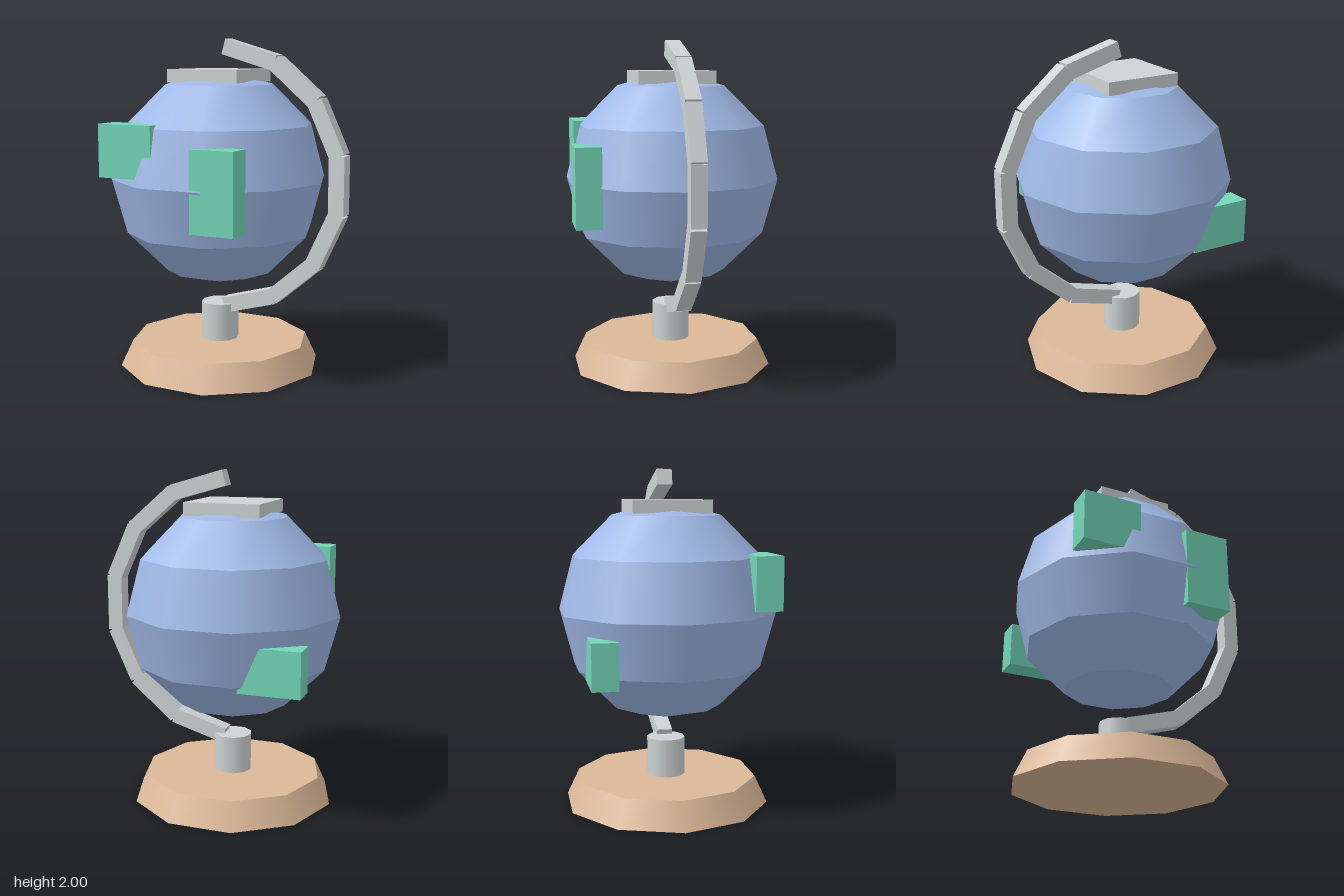
import * as THREE from 'three';
import { mergeGeometries } from 'three/addons/utils/BufferGeometryUtils.js';

const AXIS_X = -0.085; // vertical axis of the stand and globe
const GLOBE_Y = 1.165;
const GLOBE_R = 0.655;

function material(name, color) {
  const m = new THREE.MeshStandardMaterial({ color });
  m.name = name;
  return m;
}

export function createModel() {
  const model = new THREE.Group();
  model.name = 'deskGlobe';

  const ocean = material('oceanBlue', 0x9fb8e6);
  const land = material('landGreen', 0x73d6b8);
  const metal = material('paleMetal', 0xcdd3d4);
  const wood = material('wood', 0xdcb898);

  const add = (name, geometry, mat, x, y, z) => {
    const mesh = new THREE.Mesh(geometry, mat);
    mesh.name = name;
    mesh.position.set(x, y, z);
    model.add(mesh);
    return mesh;
  };

  // Ten-sided drum with a corner on the x axis
  const drum = (rTop, rBottom, height, open = false) =>
    new THREE.CylinderGeometry(rTop, rBottom, height, 10, 1, open, Math.PI / 2);

  // Box given by its limits on each axis
  const block = (name, mat, [x0, x1], [y0, y1], [z0, z1]) =>
    add(name, new THREE.BoxGeometry(x1 - x0, y1 - y0, z1 - z0), mat,
      (x0 + x1) / 2, (y0 + y1) / 2, (z0 + z1) / 2);

  // Stand
  add('base', drum(0.545, 0.62, 0.16), wood, AXIS_X, 0.08, 0);
  add('post', drum(0.115, 0.115, 0.235), metal, AXIS_X, 0.2725, 0);

  // Globe: six bands, smooth around and creased between
  const bands = [];
  for (let i = 0; i < 6; i++) {
    const a = (i * Math.PI) / 6;
    const b = ((i + 1) * Math.PI) / 6;
    const top = Math.cos(a) * GLOBE_R;
    const bottom = Math.cos(b) * GLOBE_R;
    const rTop = i === 0 ? 0 : Math.sin(a) * GLOBE_R;
    const rBottom = i === 5 ? 0 : Math.sin(b) * GLOBE_R;
    bands.push(drum(rTop, rBottom, top - bottom, true).translate(0, (top + bottom) / 2, 0));
  }
  add('globe', mergeGeometries(bands), ocean, AXIS_X, GLOBE_Y, 0);

  // Polar plate
  block('polarCap', metal, [-0.315, 0.145], [1.745, 1.822], [-0.232, 0.232]);

  // Land blocks
  block('landFrontRight', land, [-0.57, -0.22], [1.205, 1.515], [0.422, 0.58]);
  block('landFrontLeft', land, [0.05, 0.32], [0.93, 1.4], [0.467, 0.62]);
  block('landBack', land, [-0.645, -0.28], [0.8, 1.067], [-0.505, -0.355]);

  // Curved arm of seven straight bars
  const barGeometry = new THREE.BoxGeometry(0.095, 0.345, 0.092);
  const step = THREE.MathUtils.degToRad(24.63);
  const armR = 0.7725;
  for (let i = -3; i <= 3; i++) {
    const a = i * step;
    const bar = add('armSegment', barGeometry, metal,
      AXIS_X + Math.cos(a) * armR, GLOBE_Y + Math.sin(a) * armR, 0);
    bar.rotation.z = a;
  }

  return model;
}
